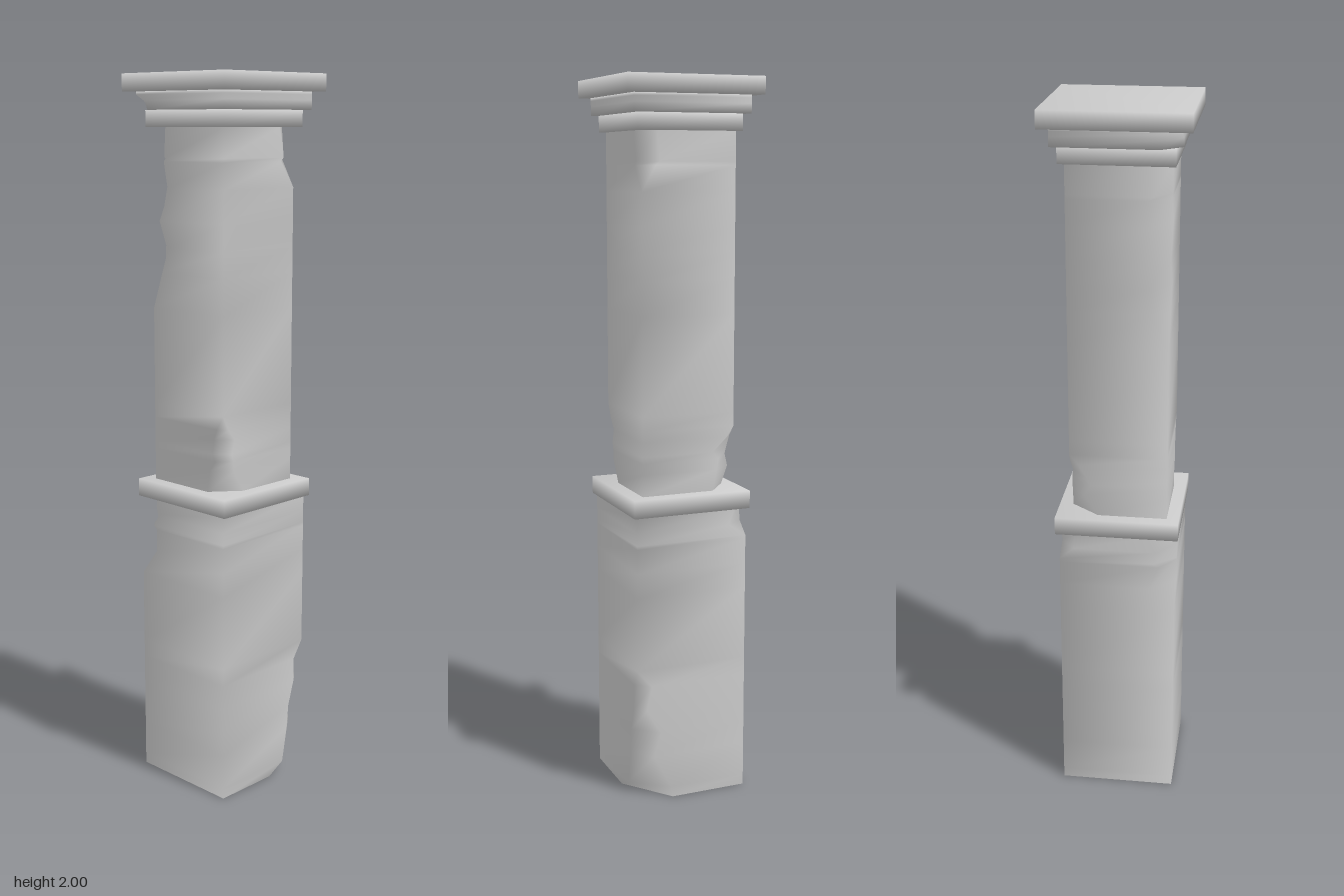
import * as THREE from 'three';
import { mergeVertices } from 'three/addons/utils/BufferGeometryUtils.js';

// Corners in counter-clockwise order seen from above
const CORNERS = [[1, 1], [1, -1], [-1, -1], [-1, 1]];

// Depth of a corner's chip at height y, interpolated from [y, depth] pairs
function chipDepth(chip, y) {
  if (!chip || y < chip[0][0] || y > chip[chip.length - 1][0]) return 0;
  for (let i = 1; i < chip.length; i++) {
    const [y0, d0] = chip[i - 1], [y1, d1] = chip[i];
    if (y <= y1) return d0 + (d1 - d0) * (y - y0) / (y1 - y0);
  }
  return 0;
}

// Square block of half-width h whose corners are broken away by chips[corner]
function chippedBlock(h, yMin, yMax, chips = [], capped = false) {
  const levels = [...new Set([yMin, yMax, ...chips.flatMap((c) => (c || []).map((p) => p[0]))])]
    .sort((a, b) => a - b);
  const pos = [], index = [], N = 8;

  levels.forEach((y, row) => {
    CORNERS.forEach(([sx, sz], i) => {
      const d = chipDepth(chips[i], y);
      const skew = row % 2 ? 1.12 : 0.88; // uneven break
      const alongX = [sx * (h - d * skew), y, sz * h];
      const alongZ = [sx * h, y, sz * (h - d * (2 - skew))];
      pos.push(...(i % 2 ? [...alongZ, ...alongX] : [...alongX, ...alongZ]));
    });
  });
  for (let r = 0; r < levels.length - 1; r++) {
    for (let i = 0; i < N; i++) {
      const a = r * N + i, b = r * N + (i + 1) % N;
      index.push(a, b, b + N, a, b + N, a + N);
    }
  }
  if (capped) {
    const top = (levels.length - 1) * N;
    for (let k = 1; k < N - 1; k++) {
      const p = (2 + k) % N, q = (3 + k) % N;
      index.push(top + 2, top + p, top + q, 2, q, p);
    }
  }
  const geo = new THREE.BufferGeometry();
  geo.setAttribute('position', new THREE.Float32BufferAttribute(pos, 3));
  geo.setIndex(index);
  // Coincident corner points are welded so the shading runs round the corners
  const welded = mergeVertices(geo, 1e-4);
  welded.computeVertexNormals();
  return welded;
}

export function createModel() {
  const pillar = new THREE.Group();
  pillar.name = 'pillar';
  const stone = new THREE.MeshStandardMaterial({ color: 0xcccccc, side: THREE.DoubleSide });

  const add = (name, geometry, x = 0, z = 0) => {
    const mesh = new THREE.Mesh(geometry, stone);
    mesh.name = name;
    mesh.position.set(x, 0, z);
    pillar.add(mesh);
  };

  // Lower shaft, open underneath
  add('lowerShaft', chippedBlock(0.163, 0, 0.83, [
    null,
    [[0, 0.12], [0.03, 0.09], [0.13, 0.055], [0.2, 0.062], [0.27, 0.03], [0.34, 0.038], [0.39, 0]],
    [[0.75, 0], [0.785, 0.045], [0.83, 0.04]],
    [[0.6, 0], [0.67, 0.065], [0.74, 0.052], [0.83, 0.07]],
  ]), -0.002, 0.002);

  // Upper shaft
  add('upperShaft', chippedBlock(0.1355, 0.88, 1.86, [
    [[0.88, 0.07], [0.97, 0.035], [1.03, 0.04], [1.1, 0]],
    [[1.7, 0], [1.77, 0.045], [1.86, 0.05]],
    [[0.88, 0.07], [0.94, 0.045], [0.99, 0.055], [1.06, 0]],
    [[1.37, 0], [1.47, 0.04], [1.54, 0.055], [1.61, 0.03], [1.7, 0.062], [1.78, 0.05], [1.86, 0.06]],
  ]), -0.002, 0.002);

  // Band between the shafts and the stepped capital
  add('middleBand', chippedBlock(0.172, 0.83, 0.88, [], true));
  add('capitalLowerStep', chippedBlock(0.15, 1.86, 1.905, [], true));
  add('capitalMiddleStep', chippedBlock(0.167, 1.905, 1.953, [
    null, null, null, [[1.905, 0.05], [1.93, 0.03], [1.945, 0]],
  ], true));
  add('capitalTopSlab', chippedBlock(0.194, 1.953, 2, [], true));

  return pillar;
}
